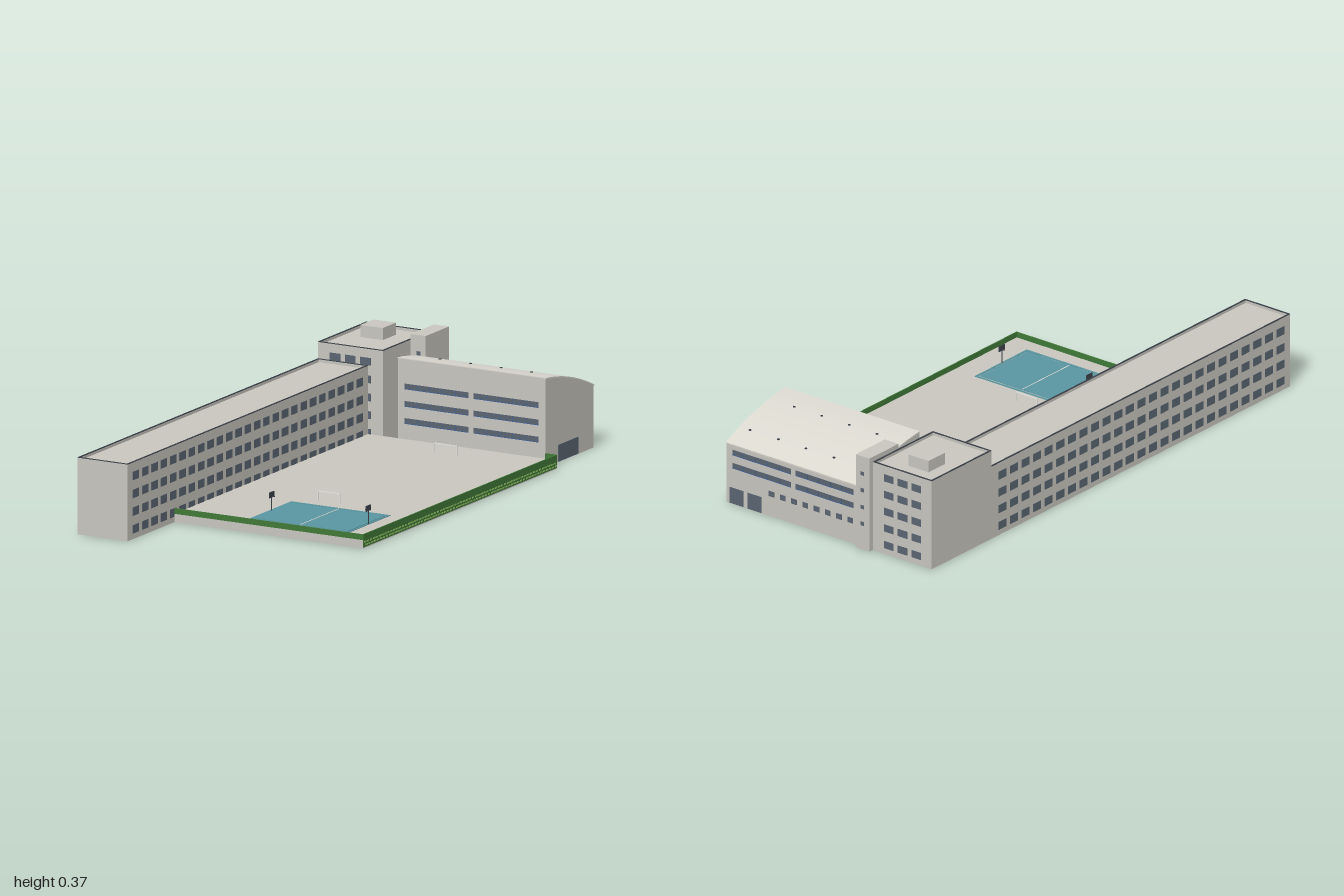
import * as THREE from 'three';
import { mergeGeometries } from 'three/addons/utils/BufferGeometryUtils.js';

const mat = (name, color) => {
  const m = new THREE.MeshStandardMaterial({ color, side: THREE.DoubleSide });
  m.name = name;
  return m;
};

export function createModel() {
  const root = new THREE.Group();
  root.name = 'campus';
  const M = {
    wall: mat('concrete', 0xc9c7c0),
    roof: mat('vaultRoof', 0xdbd8d0),
    glass: mat('windowGlass', 0x5b6672),
    blue: mat('blueFrame', 0x3d5f9c),
    dark: mat('darkTrim', 0x3c424a),
    hedge: mat('hedgeGreen', 0x417a38),
    leaf: mat('lightGreen', 0x8fbf62),
    court: mat('courtTeal', 0x5a97a2),
    line: mat('whiteLine', 0xe8e8e4),
  };

  // box geometry from min / max limits
  const box = (x0, x1, y0, y1, z0, z1) =>
    new THREE.BoxGeometry(x1 - x0, y1 - y0, z1 - z0)
      .translate((x0 + x1) / 2, (y0 + y1) / 2, (z0 + z1) / 2);
  const add = (name, geos, material, parent = root) => {
    const list = Array.isArray(geos) ? geos : [geos];
    const mesh = new THREE.Mesh(list.length > 1 ? mergeGeometries(list) : list[0], material);
    mesh.name = name;
    parent.add(mesh);
    return mesh;
  };
  const T = 0.006; // wall thickness
  const P = 0.0015; // how far panes stand proud of a wall

  // four walls around a rectangle, open below
  const ring = (x0, x1, z0, z1, y0, y1, t = T) => [
    box(x0, x0 + t, y0, y1, z0, z1), box(x1 - t, x1, y0, y1, z0, z1),
    box(x0 + t, x1 - t, y0, y1, z0, z0 + t), box(x0 + t, x1 - t, y0, y1, z1 - t, z1),
  ];
  // pane through a wall whose outer face is at x = f or z = f (s: outward sign)
  const paneX = (f, s, z, y, w, h) => {
    const a = f + s * P, b = f - s * (T + P);
    return box(Math.min(a, b), Math.max(a, b), y - h / 2, y + h / 2, z - w / 2, z + w / 2);
  };
  const paneZ = (f, s, x, y, w, h) => {
    const a = f + s * P, b = f - s * (T + P);
    return box(x - w / 2, x + w / 2, y - h / 2, y + h / 2, Math.min(a, b), Math.max(a, b));
  };
  const rows = [0.035, 0.098, 0.161, 0.225, 0.288];

  // block with sunken flat roof and dark parapet cap
  const block = (name, x0, x1, z0, z1, h) => {
    const g = new THREE.Group();
    g.name = name;
    root.add(g);
    add(name + 'Walls', ring(x0, x1, z0, z1, 0, h - 0.002), M.wall, g);
    add(name + 'Roof', box(x0 + T, x1 - T, h - 0.018, h - 0.012, z0 + T, z1 - T), M.wall, g);
    add(name + 'ParapetCap', ring(x0, x1, z0, z1, h - 0.002, h), M.dark, g);
    return g;
  };

  // long classroom wing
  const wing = block('longWing', -0.48, -0.28, -0.65, 1, 0.275);
  const wingPanes = [];
  for (const y of rows.slice(0, 4))
    for (let i = 0; i < 25; i++) {
      const z = 0.945 - i * 0.064;
      wingPanes.push(paneX(-0.28, 1, z, y, 0.043, 0.03), paneX(-0.48, -1, z, y, 0.043, 0.03));
    }
  add('wingWindows', wingPanes, M.glass, wing);

  // corner tower
  const tower = block('tower', -0.48, -0.22, -0.98, -0.65, 0.335);
  const towerPanes = [];
  for (const y of rows)
    for (const x of [-0.412, -0.351, -0.29])
      towerPanes.push(paneZ(-0.65, 1, x, y, 0.042, 0.027), paneZ(-0.98, -1, x, y, 0.042, 0.027));
  add('towerWindows', towerPanes, M.glass, tower);
  add('roofHut', box(-0.41, -0.32, 0.32, 0.366, -0.91, -0.82), M.wall, tower);

  // stair shaft
  add('stairShaft', [...ring(-0.22, -0.16, -1, -0.84, 0, 0.35),
    box(-0.22, -0.16, 0.347, 0.353, -1, -0.84)], M.wall);
  add('stairWindows', rows.slice(1).flatMap(y => [
    paneZ(-0.84, 1, -0.189, y, 0.016, 0.014), paneZ(-1, -1, -0.189, y, 0.016, 0.014)]), M.glass);

  // hall with a curved roof falling to the back
  const hall = new THREE.Group();
  hall.name = 'hall';
  root.add(hall);
  const hx0 = -0.16, hx1 = 0.43, hz0 = -0.98, hz1 = -0.65;
  const roofY = t => 0.318 - 0.03 * t - 0.063 * t * t;
  const curve = [];
  for (let i = 0; i <= 14; i++) curve.push([0.65 + 0.33 * i / 14, roofY(i / 14)]);
  const extrudeX = (pts, x0, x1) => {
    const shape = new THREE.Shape(pts.map(p => new THREE.Vector2(p[0], p[1])));
    return new THREE.ExtrudeGeometry(shape, { depth: x1 - x0, bevelEnabled: false })
      .rotateY(Math.PI / 2).translate(x0, 0, 0);
  };
  const gable = [[0.65, 0], [0.98, 0], ...curve.map(p => [p[0], p[1] - 0.003]).reverse()];
  add('hallGables', [extrudeX(gable, hx0, hx0 + T), extrudeX(gable, hx1 - T, hx1)], M.wall, hall);
  add('hallLongWalls', [box(hx0, hx1, 0, 0.315, hz1 - T, hz1),
    box(hx0, hx1, 0, 0.222, hz0, hz0 + T)], M.wall, hall);
  add('vaultedRoof', extrudeX([...curve.map(p => [p[0], p[1] - 0.005]), ...curve.slice().reverse()],
    hx0 - 0.002, hx1 + 0.003), M.roof, hall);

  // ribbon windows with blue sills and mullions
  const ribbons = [], frames = [];
  const ribbon = (f, s, y, h) => {
    for (const [a, b] of [[-0.133, 0.122], [0.143, 0.403]]) {
      ribbons.push(paneZ(f, s, (a + b) / 2, y, b - a, h));
      frames.push(paneZ(f + s * 0.001, s, (a + b) / 2, y - h / 2 + 0.001, b - a, 0.002));
      for (let i = 1; i < 5; i++)
        frames.push(paneZ(f + s * 0.001, s, a + (b - a) * i / 5, y, 0.0015, h));
    }
  };
  for (const y of [0.095, 0.156, 0.218]) ribbon(hz1, 1, y, 0.02);
  for (const y of [0.145, 0.195]) ribbon(hz0, -1, y, 0.02);
  for (let i = 0; i < 8; i++) ribbons.push(paneZ(hz0, -1, -0.12 + i * 0.05, 0.085, 0.024, 0.02));
  add('ribbonWindows', ribbons, M.glass, hall);
  add('ribbonFrames', frames, M.blue, hall);
  add('entrances', [paneX(hx1, 1, -0.805, 0.031, 0.135, 0.06),
    paneZ(hz0, -1, 0.385, 0.031, 0.06, 0.06), paneZ(hz0, -1, 0.305, 0.031, 0.06, 0.06)], M.glass, hall);

  // small roof vents
  const vents = [];
  const vent = (x, z) => {
    const y = roofY((-z - 0.65) / 0.33);
    vents.push(box(x - 0.004, x + 0.004, y - 0.003, y + 0.003, z - 0.003, z + 0.003));
  };
  [-0.11, 0.013, 0.137, 0.26, 0.385].forEach(x => vent(x, -0.905));
  [-0.045, 0.078, 0.2, 0.322].forEach(x => vent(x, -0.74));
  add('roofVents', vents, M.dark, hall);

  // raised yard
  const Y = 0.03;
  add('yardDeck', box(-0.28, 0.475, 0, Y, -0.65, 0.68), M.wall);
  add('hedge', [box(-0.28, 0.476, Y, 0.05, 0.677, 0.681), box(0.473, 0.477, Y, 0.05, -0.65, 0.681),
    box(0.43, 0.476, Y, 0.05, -0.651, -0.648)], M.hedge);
  add('hedgeBand', box(0.475, 0.477, 0.004, Y, -0.65, 0.68), M.hedge);
  const leaves = [];
  for (let i = 0; i < 66; i++) {
    const z = -0.64 + i * 0.02;
    leaves.push(box(0.476, 0.479, 0.009, 0.014, z - 0.006, z + 0.006),
      box(0.476, 0.479, 0.02, 0.025, z + 0.004, z + 0.016));
  }
  add('leafDashes', leaves, M.leaf);

  // ball court
  const court = new THREE.Group();
  court.name = 'ballCourt';
  root.add(court);
  add('courtBorder', ring(-0.017, 0.38, 0.328, 0.616, Y, Y + 0.002, 0.008), M.court, court);
  add('courtFloor', box(-0.009, 0.368, Y, Y + 0.002, 0.342, 0.604), M.court, court);
  add('centreLine', box(0.179, 0.182, Y, Y + 0.003, 0.342, 0.604), M.line, court);
  for (const [x, s] of [[-0.01, 1], [0.377, -1]]) {
    const hoop = new THREE.Group();
    hoop.name = 'hoop';
    court.add(hoop);
    add('hoopPost', new THREE.CylinderGeometry(0.002, 0.002, 0.06, 8).translate(x, Y + 0.03, 0.475), M.dark, hoop);
    add('backboard', box(x - 0.0015, x + 0.0015, 0.078, 0.098, 0.459, 0.491), M.dark, hoop);
    add('rim', new THREE.TorusGeometry(0.005, 0.0008, 6, 12).rotateX(Math.PI / 2)
      .translate(x + s * 0.007, 0.082, 0.475), M.dark, hoop);
  }

  // football goals
  for (const z of [-0.54, 0.26]) {
    add('goal', [box(0.048, 0.051, Y, 0.063, z - 0.0015, z + 0.0015),
      box(0.138, 0.141, Y, 0.063, z - 0.0015, z + 0.0015),
      box(0.048, 0.141, 0.061, 0.064, z - 0.0015, z + 0.0015)], M.line);
  }
  return root;
}
